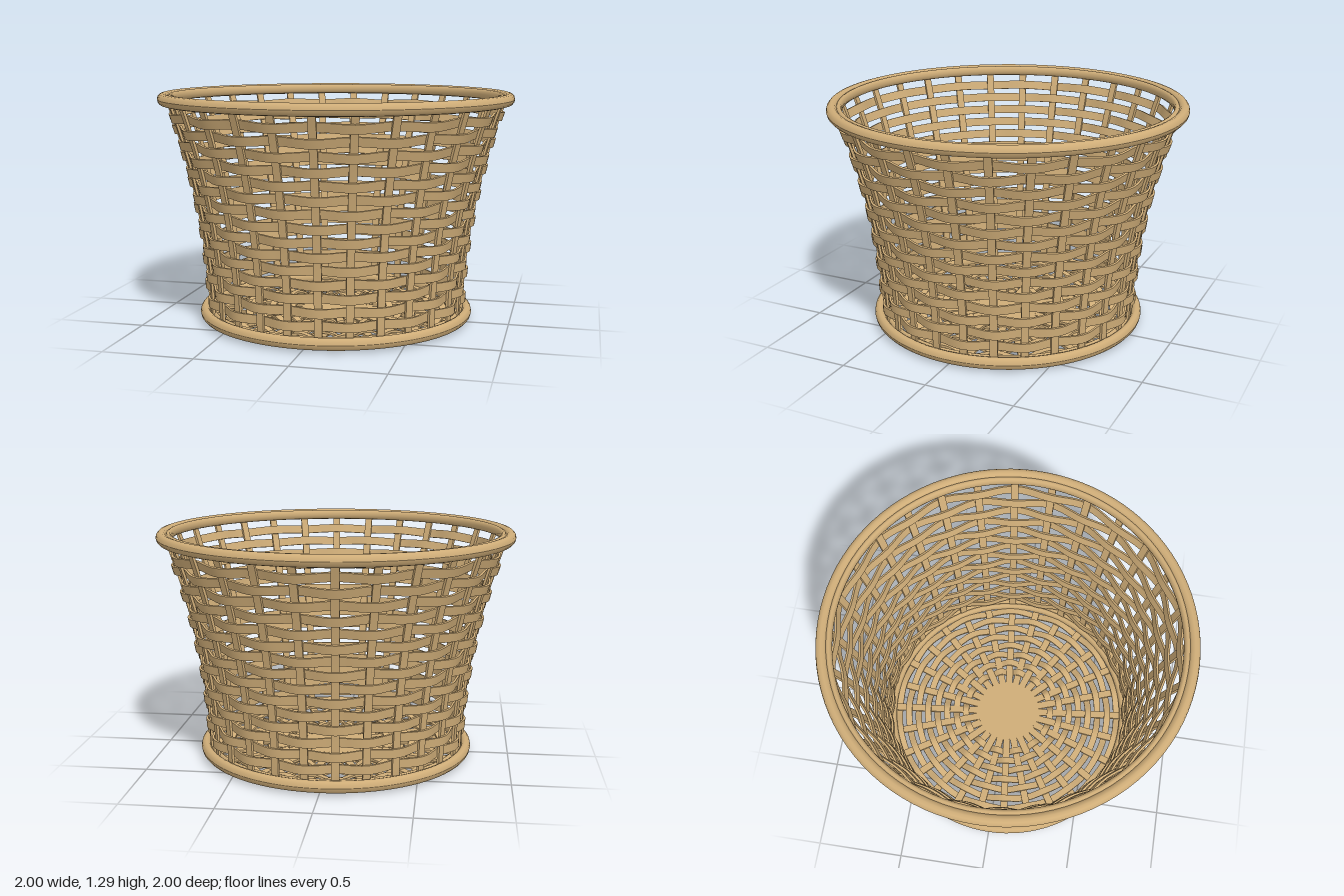
import * as THREE from 'three';

const STAKES = 28, STEPS = STAKES * 6;
const FLOOR_Y = 0.022, WAVE = 0.016;

// Wall radius at a height: the basket flares towards the top
const wallRadius = (y) => 0.727 + 0.14 * y * y;

// Sweep four-cornered sections into a strip with crisp edges
function sweep(sections) {
  const pos = [], index = [];
  for (let k = 0; k < 4; k++) {
    const base = pos.length / 3;
    sections.forEach((s, i) => {
      pos.push(...s[k], ...s[(k + 1) % 4]);
      if (i === sections.length - 1) return;
      const a = base + i * 2;
      index.push(a, a + 2, a + 1, a + 2, a + 3, a + 1);
    });
  }
  const g = new THREE.BufferGeometry();
  g.setAttribute('position', new THREE.Float32BufferAttribute(pos, 3));
  g.setIndex(index);
  g.computeVertexNormals();
  return g;
}

// Woven hoop: a flat band around the axis that waves along its normal (nr, ny)
function wovenHoop(r, y, nr, ny, width, thick, sign) {
  const sections = [];
  const w = width / 2, t = thick / 2;
  for (let i = 0; i <= STEPS; i++) {
    const a = (i / STEPS) * Math.PI * 2;
    const off = sign * WAVE * Math.sin(a * STAKES / 2);
    sections.push([[t, -w], [t, w], [-t, w], [-t, -w]].map(([n, u]) => {
      const rr = r + nr * (off + n) - ny * u;
      return [rr * Math.sin(a), y + ny * (off + n) + nr * u, rr * Math.cos(a)];
    }));
  }
  return sweep(sections);
}

// Stake: a flat strip running out along the floor and up the wall
function stakeGeometry() {
  const path = [[0.1, FLOOR_Y], [0.4, FLOOR_Y], [0.69, FLOOR_Y], [0.718, 0.03]];
  for (let i = 0; i <= 14; i++) {
    const y = 0.06 + (i / 14) * 1.2;
    path.push([wallRadius(y), y]);
  }
  const w = 0.021, t = 0.007;
  return sweep(path.map(([r, y], i) => {
    const p = path[Math.max(i - 1, 0)], q = path[Math.min(i + 1, path.length - 1)];
    const len = Math.hypot(q[0] - p[0], q[1] - p[1]);
    const nr = (q[1] - p[1]) / len, ny = -(q[0] - p[0]) / len;
    return [[t, w], [t, -w], [-t, -w], [-t, w]].map(([n, s]) => [s, y + ny * n, r + nr * n]);
  }));
}

// Rounded hoop with an elliptical section
function roundHoop(r, y, rx, ry) {
  const pts = [];
  for (let i = 0; i <= 12; i++) {
    const a = (i / 12) * Math.PI * 2;
    pts.push(new THREE.Vector2(r + rx * Math.cos(a), y + ry * Math.sin(a)));
  }
  return new THREE.LatheGeometry(pts, 96);
}

export function createModel() {
  const model = new THREE.Group();
  model.name = 'wovenBasket';
  const wicker = new THREE.MeshStandardMaterial({ color: 0xcfad78 });
  wicker.name = 'wicker';

  const group = (name) => {
    const g = new THREE.Group();
    g.name = name;
    model.add(g);
    return g;
  };
  const add = (parent, name, geometry) => {
    const m = new THREE.Mesh(geometry, wicker);
    m.name = name;
    parent.add(m);
    return m;
  };

  // Upright stakes, continuing as spokes under the floor
  const stakes = group('stakes');
  const stake = stakeGeometry();
  for (let i = 0; i < STAKES; i++) {
    add(stakes, 'stake', stake).rotation.y = ((i + 0.5) / STAKES) * Math.PI * 2;
  }

  // Wall weave: rows alternate over and under the stakes
  const wall = group('wallWeave');
  for (let i = 0; i < 15; i++) {
    const y = 0.128 + i * 0.0745;
    const slope = 0.28 * y, len = Math.hypot(1, slope);
    add(wall, 'wallBand',
      wovenHoop(wallRadius(y), y, 1 / len, -slope / len, 0.05, 0.012, i % 2 ? 1 : -1));
  }

  // Floor weave and solid hub
  const floor = group('floorWeave');
  for (let i = 0; i < 8; i++) {
    add(floor, 'floorBand', wovenHoop(0.265 + i * 0.06, FLOOR_Y, 0, -1, 0.039, 0.012, i % 2 ? 1 : -1));
  }
  add(floor, 'hub', new THREE.CylinderGeometry(0.187, 0.187, 0.0144, 56)).position.y = FLOOR_Y;

  // Double hoops gripping the stakes at the rim and foot
  const rim = group('rim');
  add(rim, 'rimOuterHoop', roundHoop(0.969, 1.262, 0.031, 0.033));
  add(rim, 'rimInnerHoop', roundHoop(0.931, 1.262, 0.018, 0.028));
  const foot = group('foot');
  add(foot, 'footOuterHoop', roundHoop(0.756, 0.045, 0.028, 0.034));
  add(foot, 'footInnerHoop', roundHoop(0.716, 0.045, 0.016, 0.028));

  return model;
}
